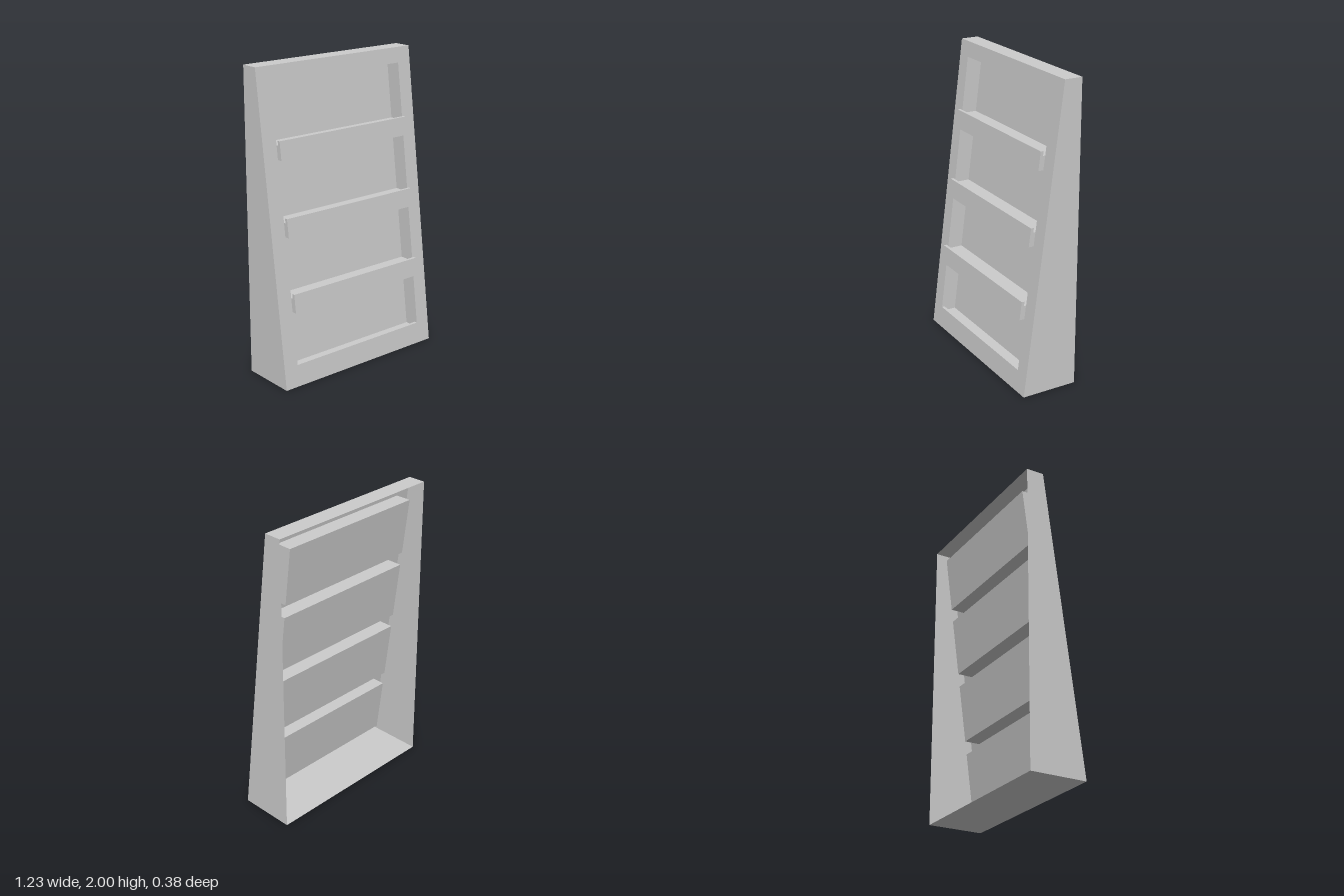
import * as THREE from 'three';

const W = 0.617, H = 2, BACK = -0.188;      // half width, height, back plane
const OPEN = 0.515, DEPTH = 0.105;          // half width and depth of the pockets
const LIP = 0.035, RAIL = 0.02;             // lip projection and upstand thickness
const frontZ = (y) => 0.188 - 0.129 * y;    // leaning front plane

// floor and ceiling height of each pocket, top to bottom
const pockets = [[1.525, 1.9], [1.05, 1.435], [0.575, 0.96], [0.11, 0.485]];

const material = new THREE.MeshStandardMaterial({ color: 0xcccccc, side: THREE.DoubleSide });

function addMesh(parent, geometry, name) {
  const mesh = new THREE.Mesh(geometry, material);
  mesh.name = name;
  parent.add(mesh);
  return mesh;
}

// flat four-cornered sheet, corners counter-clockwise from its front
function sheet(a, b, c, d) {
  const g = new THREE.BufferGeometry();
  g.setAttribute('position', new THREE.Float32BufferAttribute([a, b, c, a, c, d].flat(), 3));
  g.computeVertexNormals();
  return g;
}

// profile of [z, y] points extruded across the opening
function acrossOpening(points) {
  const shape = new THREE.Shape(points.map(([z, y]) => new THREE.Vector2(z, y)));
  const g = new THREE.ExtrudeGeometry(shape, { depth: 2 * OPEN, bevelEnabled: false });
  return g.rotateY(-Math.PI / 2).translate(OPEN, 0, 0);
}

function rectangle(PathType, x, y0, y1) {
  const p = new PathType();
  p.moveTo(-x, y0);
  p.lineTo(x, y0);
  p.lineTo(x, y1);
  p.lineTo(-x, y1);
  p.closePath();
  return p;
}

function createCasing() {
  const casing = new THREE.Group();
  casing.name = 'casing';

  // leaning front with four openings
  const shape = rectangle(THREE.Shape, W, 0, H);
  for (const [y0, y1] of pockets) shape.holes.push(rectangle(THREE.Path, OPEN, y0, y1));
  const front = new THREE.ShapeGeometry(shape);
  const p = front.attributes.position;
  for (let i = 0; i < p.count; i++) p.setZ(i, frontZ(p.getY(i)));
  front.computeVertexNormals();
  addMesh(casing, front, 'frontPanel');

  // thin tapered sides, open at the back
  const b = frontZ(0), t = frontZ(H);
  addMesh(casing, sheet([W, 0, b], [W, 0, BACK], [W, H, BACK], [W, H, t]), 'leftSide');
  addMesh(casing, sheet([-W, 0, BACK], [-W, 0, b], [-W, H, t], [-W, H, BACK]), 'rightSide');
  addMesh(casing, sheet([-W, H, t], [W, H, t], [W, H, BACK], [-W, H, BACK]), 'topPanel');
  addMesh(casing, sheet([-W, 0, BACK], [W, 0, BACK], [W, 0, b], [-W, 0, b]), 'bottomPanel');
  return casing;
}

function createPocket([y0, y1], hasLip) {
  const pocket = new THREE.Group();
  pocket.name = 'shelfPocket';
  const f0 = frontZ(y0), f1 = frontZ(y1), b0 = f0 - DEPTH, b1 = f1 - DEPTH, x = OPEN;

  addMesh(pocket, sheet([-x, y0, b0], [x, y0, b0], [x, y1, b1], [-x, y1, b1]), 'pocketBack');
  addMesh(pocket, sheet([-x, y0, f0], [x, y0, f0], [x, y0, b0], [-x, y0, b0]), 'shelfFloor');
  addMesh(pocket, sheet([-x, y1, b1], [x, y1, b1], [x, y1, f1], [-x, y1, f1]), 'pocketCeiling');
  addMesh(pocket, sheet([x, y0, b0], [x, y0, f0], [x, y1, f1], [x, y1, b1]), 'pocketLeftSide');
  addMesh(pocket, sheet([-x, y0, f0], [-x, y0, b0], [-x, y1, b1], [-x, y1, f1]), 'pocketRightSide');

  const top = y0 + 0.03;
  if (hasLip) {
    // projecting lip, stepped so the floor runs up to its upstand
    const low = y0 - 0.09;
    addMesh(pocket, acrossOpening([
      [frontZ(low), low], [frontZ(low) + LIP, low], [frontZ(top) + LIP, top],
      [frontZ(top) + LIP - RAIL, top], [f0 + LIP - RAIL, y0], [f0, y0],
    ]), 'shelfLip');
  } else {
    // lowest shelf: upstand flush with the front
    addMesh(pocket, acrossOpening([
      [f0 - RAIL, y0], [f0, y0], [frontZ(top), top], [frontZ(top) - RAIL, top],
    ]), 'shelfRail');
  }
  return pocket;
}

export function createModel() {
  const model = new THREE.Group();
  model.name = 'leaningDisplayShelf';
  model.add(createCasing());
  pockets.forEach((pocket, i) => model.add(createPocket(pocket, i < pockets.length - 1)));
  return model;
}
